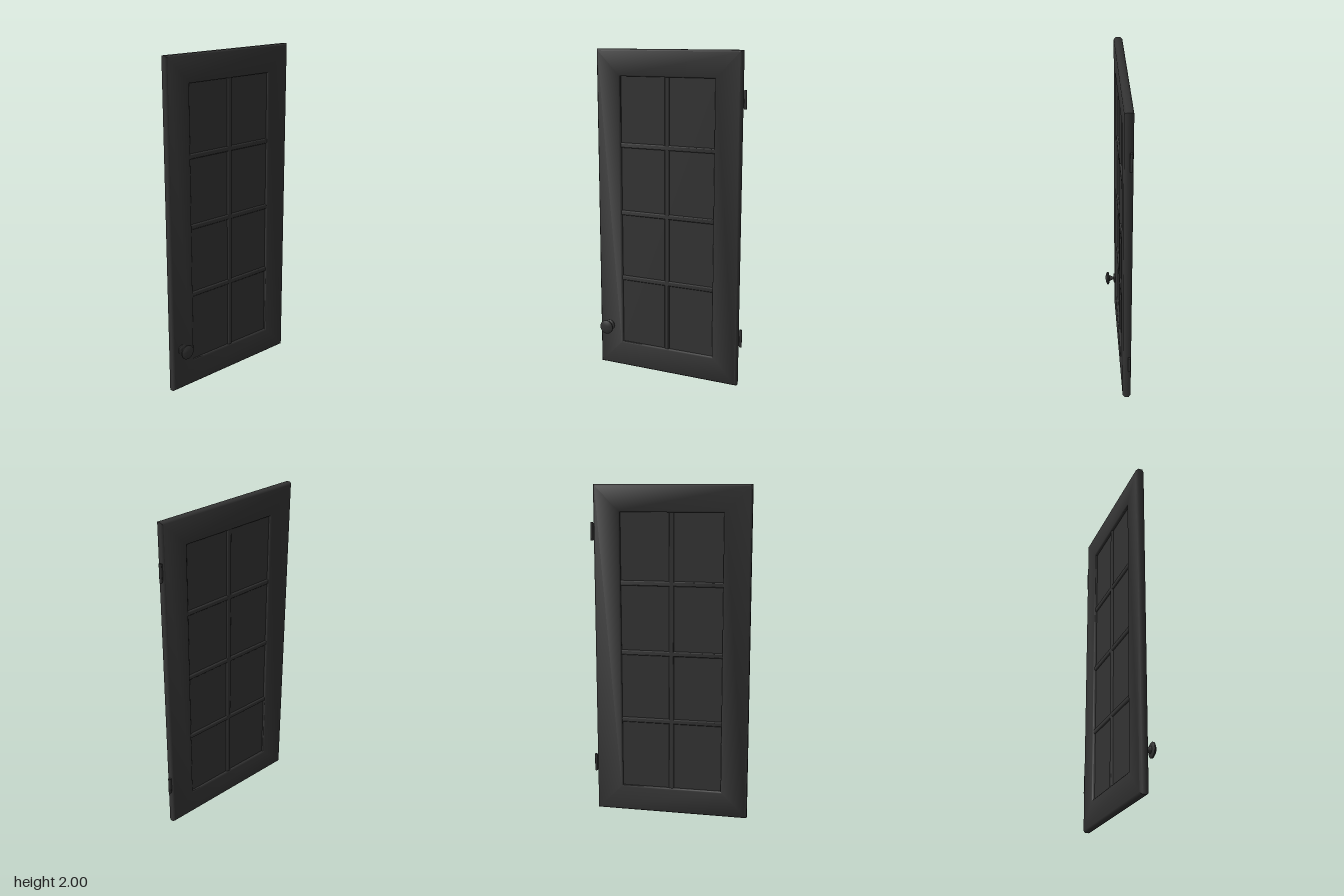
import * as THREE from 'three';
import { toCreasedNormals } from 'three/addons/utils/BufferGeometryUtils.js';

const mat = new THREE.MeshStandardMaterial({ color: 0x333333, roughness: 0.8 });
const X0 = -0.477, X1 = 0.457, Y0 = 0, Y1 = 2;
const BACK = -0.057, FRONT = -0.007, MID = (BACK + FRONT) / 2;
const INSET = 0.16;

// Mitred ring: sweeps an [inset, z] profile around the door rectangle
function mitredFrame(profile) {
  const corners = (d) => [[X0 + d, Y0 + d], [X1 - d, Y0 + d], [X1 - d, Y1 - d], [X0 + d, Y1 - d]];
  const pos = [], idx = [], n = profile.length;
  for (const [d, z] of profile) for (const [x, y] of corners(d)) pos.push(x, y, z);
  for (let p = 0; p < n; p++) {
    for (let c = 0; c < 4; c++) {
      const a = p * 4 + c, b = p * 4 + (c + 1) % 4;
      const q = ((p + 1) % n) * 4;
      const e = q + c, f = q + (c + 1) % 4;
      idx.push(a, b, f, a, f, e);
    }
  }
  const g = new THREE.BufferGeometry();
  g.setAttribute('position', new THREE.Float32BufferAttribute(pos, 3));
  g.setIndex(idx);
  return toCreasedNormals(g, 1.05);
}

// Glazing bar along y: chamfered on both faces
function barGeometry(length, width) {
  const h = width / 2, d = 0.019, c = 0.006;
  const s = new THREE.Shape([[-h, -d + c], [-h + c, -d], [h - c, -d], [h, -d + c],
    [h, d - c], [h - c, d], [-h + c, d], [-h, d - c]].map(([x, y]) => new THREE.Vector2(x, y)));
  const g = new THREE.ExtrudeGeometry(s, { depth: length, bevelEnabled: false });
  g.translate(0, 0, -length / 2).rotateX(Math.PI / 2);
  return toCreasedNormals(g, 1.05);
}

export function createModel() {
  const door = new THREE.Group();
  door.name = 'door';
  const add = (parent, name, geo, x = 0, y = 0, z = 0) => {
    const m = new THREE.Mesh(geo, mat);
    m.name = name;
    m.position.set(x, y, z);
    parent.add(m);
    return m;
  };

  // Outer frame with chamfered rim and softened inner edge
  add(door, 'frame', mitredFrame([
    [0, BACK + 0.012], [0, FRONT - 0.012], [0.01, FRONT], [INSET - 0.008, FRONT],
    [INSET, FRONT - 0.006], [INSET, BACK + 0.006], [INSET - 0.008, BACK], [0.01, BACK],
  ]));

  // Recessed panel behind the bars
  const w = X1 - X0 - 2 * INSET, h = Y1 - Y0 - 2 * INSET;
  const cx = (X0 + X1) / 2, cy = (Y0 + Y1) / 2;
  add(door, 'panel', new THREE.BoxGeometry(w + 0.02, h + 0.02, 0.016), cx, cy, MID);

  // Glazing bars: one upright, three rails
  add(door, 'uprightBar', barGeometry(h + 0.01, 0.03), cx, cy, MID);
  for (const y of [0.585, 1.005, 1.425]) {
    add(door, 'crossBar', barGeometry(w + 0.01, 0.03), cx, y, MID).rotation.z = Math.PI / 2;
  }

  // Round knob with rosette
  const profile = [[0, -0.012], [0.032, -0.012], [0.032, -0.002], [0.028, 0.001], [0.011, 0.003],
    [0.012, 0.012], [0.021, 0.031], [0.038, 0.034], [0.044, 0.038], [0.044, 0.045],
    [0.03, 0.053], [0.015, 0.056], [0, 0.057]].map(([r, y]) => new THREE.Vector2(r, y));
  const knob = new THREE.LatheGeometry(profile, 24);
  knob.rotateX(Math.PI / 2);
  add(door, 'knob', toCreasedNormals(knob, 0.7), -0.407, 0.26, 0);

  // Hinges: a pin barrel and a leaf against the door edge
  for (const y of [0.297, 1.725]) {
    const hinge = new THREE.Group();
    hinge.name = 'hinge';
    hinge.position.set(0.469, y, -0.045);
    add(hinge, 'hingeBarrel', new THREE.CylinderGeometry(0.008, 0.008, 0.108, 12));
    add(hinge, 'hingeLeaf', new THREE.BoxGeometry(0.014, 0.1, 0.004), -0.008, 0, 0);
    door.add(hinge);
  }
  return door;
}
